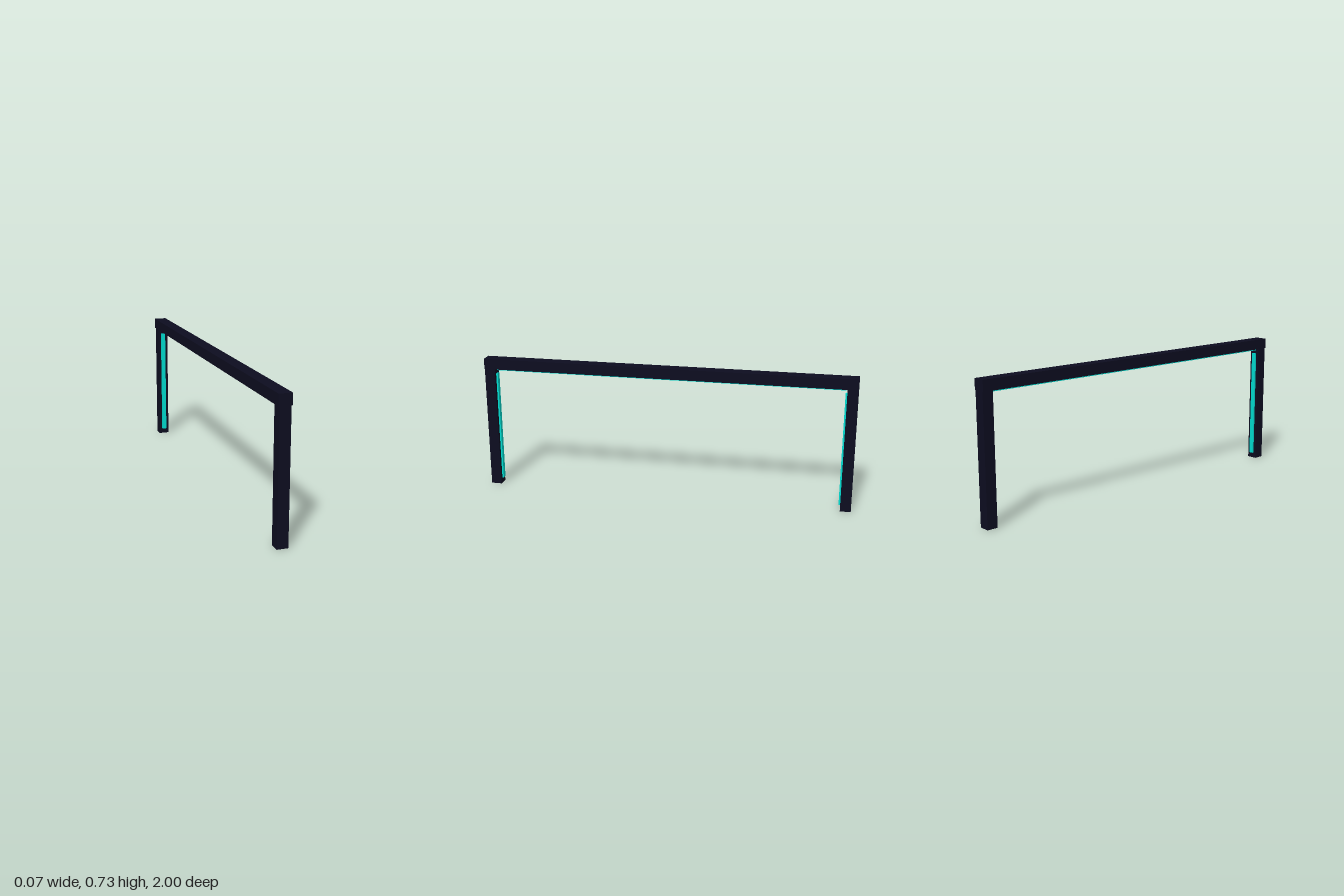
import * as THREE from 'three';

export function createModel() {
  const model = new THREE.Group();
  model.name = 'archGate';

  const frame = new THREE.MeshStandardMaterial({ name: 'darkNavy', color: 0x0d0d20 });
  const glow = new THREE.MeshStandardMaterial({ name: 'brightTeal', color: 0x00dcd0 });

  const box = (name, material, size, position) => {
    const mesh = new THREE.Mesh(new THREE.BoxGeometry(...size), material);
    mesh.name = name;
    mesh.position.set(...position);
    model.add(mesh);
  };

  // Posts with a light strip on each inner face
  for (const [side, s] of [['front', 1], ['back', -1]]) {
    box(side + 'Post', frame, [0.057, 0.668, 0.057], [0, 0.334, s * 0.9715]);
    box(side + 'PostLight', glow, [0.025, 0.61, 0.009], [0, 0.335, s * 0.9385]);
  }

  // Crossbeam, slightly wider than the posts, with a light strip underneath
  box('crossbeam', frame, [0.067, 0.057, 2], [0, 0.6965, 0]);
  box('crossbeamLight', glow, [0.025, 0.009, 1.876], [0, 0.6635, 0]);

  return model;
}
